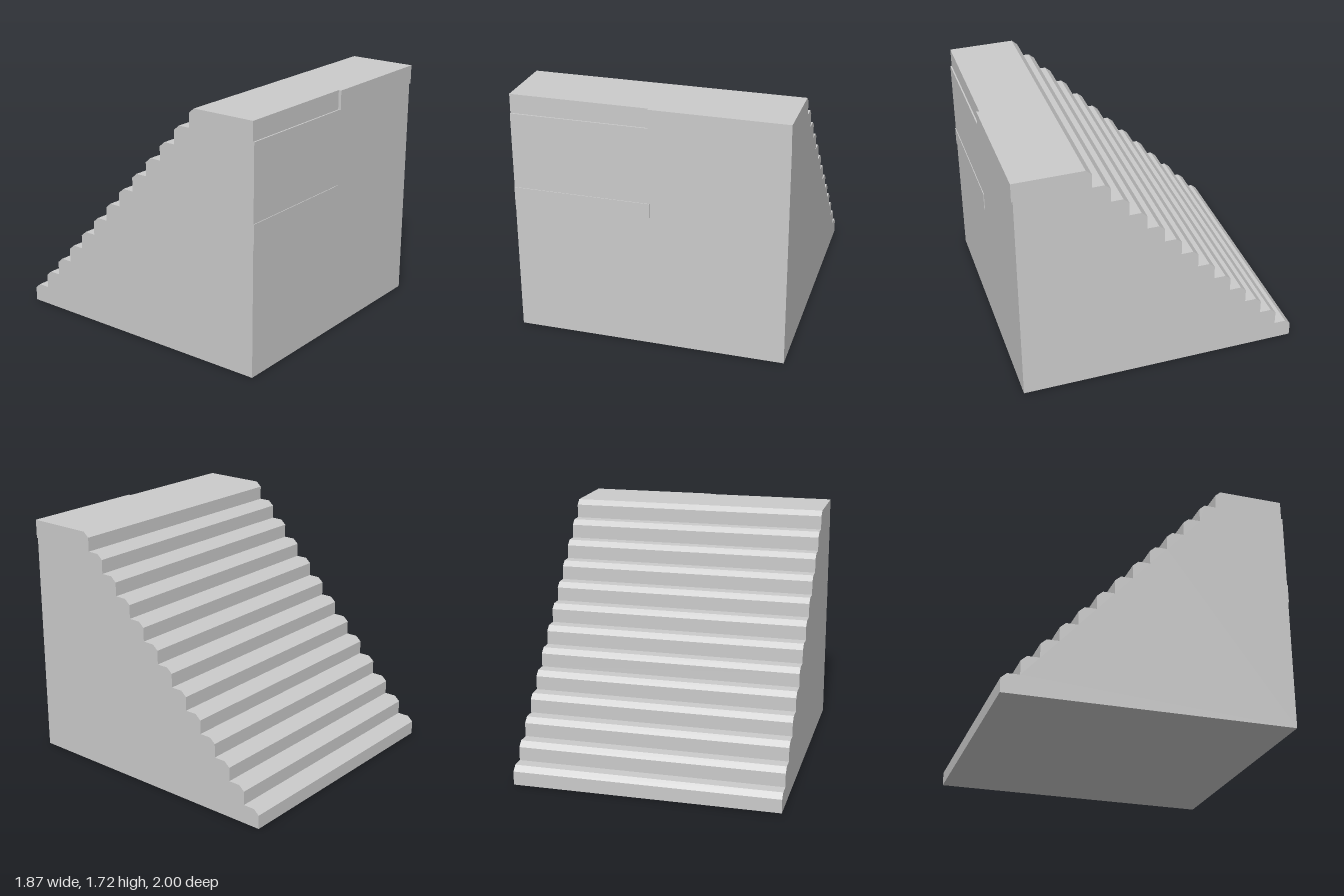
import * as THREE from 'three';

const STEPS = 13, HEIGHT = 1.72, WIDTH = 1.87;
const RISE = HEIGHT / STEPS, RUN = 1.48 / (STEPS - 1);
const NOSE_Z = 0.04, NOSE_Y = 0.035, FRONT = 0.99;

export function createModel() {
  const group = new THREE.Group();
  const material = new THREE.MeshStandardMaterial({ color: 0xcccccc, flatShading: true });

  // Extrudes a (z, y) outline along x, from x0 to x1
  function addProfile(name, points, x0, x1) {
    const shape = new THREE.Shape(points.map(([z, y]) => new THREE.Vector2(-z, y)));
    const geometry = new THREE.ExtrudeGeometry(shape, { depth: x1 - x0, bevelEnabled: false });
    geometry.rotateY(Math.PI / 2).translate(x0, 0, 0);
    const mesh = new THREE.Mesh(geometry, material);
    mesh.name = name;
    group.add(mesh);
  }

  // Stepped outline with a chamfered nosing on each of the steps below y = rows * RISE
  function stairOutline(first, last, front) {
    const points = [[front, first * RISE]];
    for (let i = first; i < last; i++) {
      const z = -1 + i * RUN, top = (i + 1) * RISE;
      points.push([z, i * RISE], [z, top - NOSE_Y], [z + NOSE_Z, top]);
    }
    points.push([front, last * RISE]);
    return points;
  }

  // Solid flight, then the top course in two halves with slightly uneven fronts
  addProfile('stairFlight', stairOutline(0, STEPS - 1, FRONT), -WIDTH / 2, WIDTH / 2);
  addProfile('topStepRight', stairOutline(STEPS - 1, STEPS, 0.98), -WIDTH / 2, 0.01);
  addProfile('topStepLeft', stairOutline(STEPS - 1, STEPS, 1), 0.01, WIDTH / 2);

  // Slightly proud block in the front wall
  const block = new THREE.Mesh(new THREE.BoxGeometry(WIDTH / 2 + 0.01, RISE, 0.1), material);
  block.name = 'wallBlock';
  block.position.set((0.01 - WIDTH / 2) / 2, 7.5 * RISE, FRONT + 0.005 - 0.05);
  group.add(block);

  return group;
}
